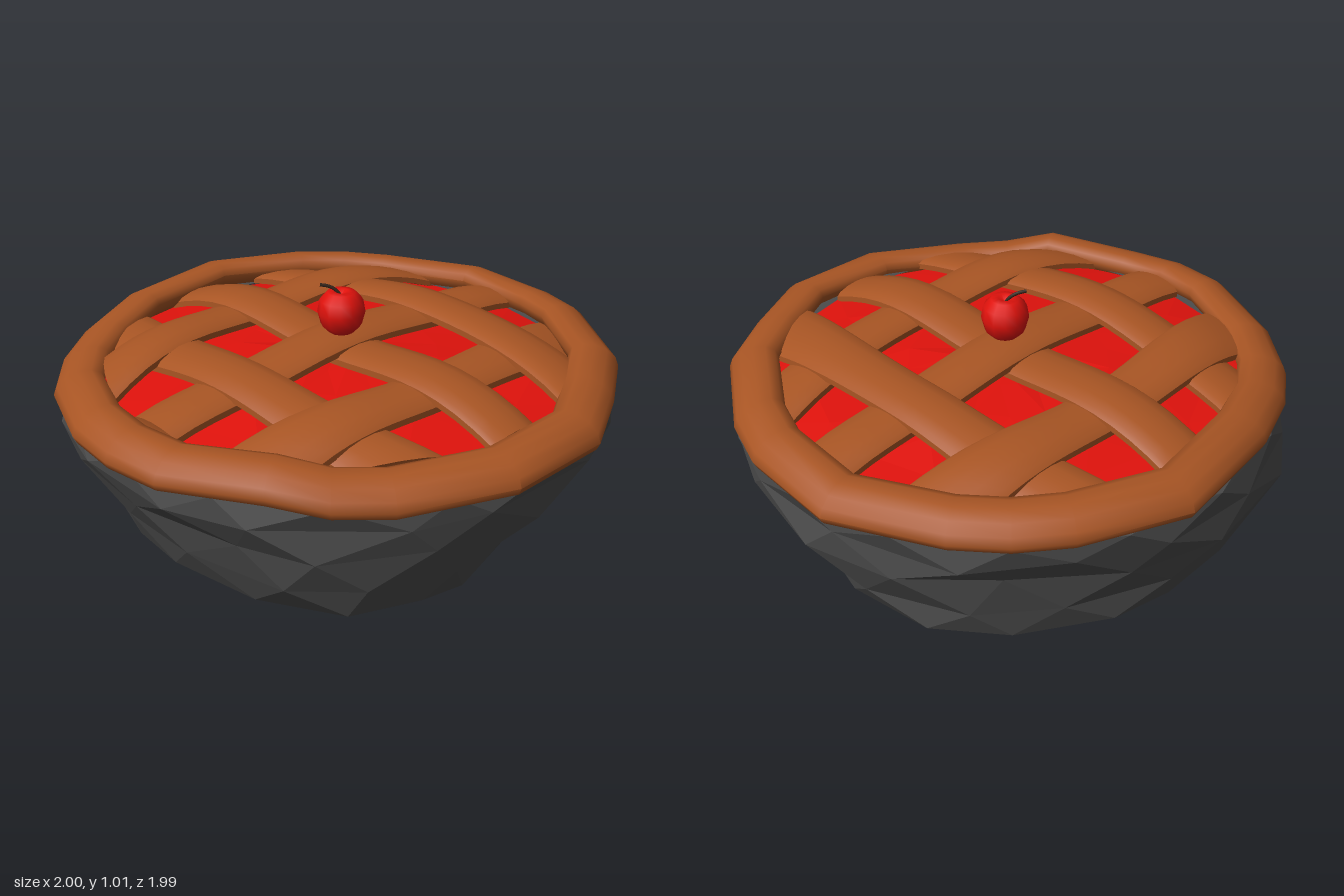
import * as THREE from 'three';
import { toCreasedNormals } from 'three/addons/utils/BufferGeometryUtils.js';

const material = (color, flatShading = false) => new THREE.MeshStandardMaterial({ color, flatShading });

// Small seeded generator, returns -1..1
function seeded(seed) {
  return () => {
    seed = (seed * 16807) % 2147483647;
    return (seed / 2147483647) * 2 - 1;
  };
}

// Skin a list of closed rings; optionally join the last ring to the first
function loft(rings, joinEnds = false) {
  const n = rings[0].length, count = rings.length, index = [];
  for (let i = 0; i < (joinEnds ? count : count - 1); i++) {
    for (let j = 0; j < n; j++) {
      const k = (j + 1) % n, r = i * n, s = ((i + 1) % count) * n;
      index.push(r + j, s + j, r + k, r + k, s + j, s + k);
    }
  }
  const geometry = new THREE.BufferGeometry();
  geometry.setAttribute('position', new THREE.Float32BufferAttribute(rings.flat(2), 3));
  geometry.setIndex(index);
  geometry.computeVertexNormals();
  return geometry;
}

// Rough stone dish: each level has its height and reach towards +x, -x, +z, -z
function dishGeometry() {
  const rand = seeded(77), sides = 16;
  const levels = [
    [0.0, 0.0, 0.2, 0.29, -0.02],
    [0.08, 0.6, 0.52, 0.62, 0.62],
    [0.19, 0.66, 0.8, 0.85, 0.83],
    [0.31, 0.72, 0.88, 0.92, 0.85],
    [0.46, 0.89, 0.98, 0.96, 0.89],
    [0.57, 0.97, 0.985, 0.975, 0.955],
    [0.66, 0.985, 0.955, 0.975, 0.965],
    [0.69, 0.94, 0.93, 0.93, 0.93],
    [0.69, 0.84, 0.84, 0.84, 0.84],
  ];
  const rings = levels.map(([y, px, nx, pz, nz], i) => {
    const rough = i > 0 && i < 6 ? 1 : 0;
    return Array.from({ length: sides }, (_, j) => {
      // each level turns by half a side, giving even triangles
      const a = ((j + i * 0.5 + rand() * 0.2 * rough) / sides) * Math.PI * 2;
      const c = Math.cos(a), s = Math.sin(a);
      // the low levels bulge at the back corners and draw in at the front right
      const corner = c > 0 ? (s > 0 ? 0 : 0.08) : (s > 0 ? -0.07 : 0.03);
      const bulge = i > 0 && i < 5 ? corner * 2 * Math.abs(c * s) : 0;
      const k = 1.005 + rand() * 0.012 * rough + bulge;
      const lift = i === 1 ? 0.05 * Math.max(0, -s) : 0;
      return [
        (c > 0 ? px : nx) * c * k,
        y + rand() * 0.015 * rough + lift,
        (s > 0 ? pz : nz) * s * k,
      ];
    });
  });
  rings.unshift(Array.from({ length: sides }, () => [-0.1, 0, 0.13]));
  return loft(rings);
}

// Wavy crust ring with a rounded section; each station is outer x, outer z, height
function rimGeometry() {
  const sides = 12;
  const stations = [
    [1, 0.02, 0.72], [0.945, 0.29, 0.71], [0.86, 0.57, 0.7], [0.58, 0.85, 0.69], [0.2, 0.975, 0.67],
    [0, 0.99, 0.675], [-0.2, 0.98, 0.715], [-0.55, 0.85, 0.69], [-0.72, 0.73, 0.7], [-0.85, 0.57, 0.705],
    [-0.98, 0.24, 0.69], [-1, 0, 0.685], [-0.96, -0.21, 0.7], [-0.85, -0.47, 0.725], [-0.57, -0.84, 0.725],
    [-0.2, -0.98, 0.72], [0, -1, 0.715], [0.2, -0.975, 0.71], [0.59, -0.84, 0.71], [0.84, -0.55, 0.715],
    [0.925, -0.37, 0.725],
  ];
  const rings = stations.map(([x, z, y]) => {
    const outer = Math.hypot(x, z);
    return Array.from({ length: sides }, (_, j) => {
      const b = (j / sides) * Math.PI * 2;
      const k = (outer - 0.09 + 0.09 * Math.cos(b)) / outer;
      // the outer side hangs a little lower
      return [x * k, y - 0.058 * Math.sin(b) - 0.022 * Math.cos(b), z * k];
    });
  });
  return toCreasedNormals(loft(rings, true), 0.9);
}

// Lumpy, gently domed fruit filling
function fillingGeometry() {
  const rand = seeded(5), sides = 18;
  const rings = [0.87, 0.7, 0.53, 0.36, 0.18, 0].map((r, i) =>
    Array.from({ length: sides }, (_, j) => {
      const a = ((j + i * 0.5) / sides) * Math.PI * 2;
      const y = 0.68 + 0.068 * (1 - (r / 0.87) ** 2) + (r ? rand() * 0.008 : 0);
      return [r * Math.cos(a), y, r * Math.sin(a)];
    }));
  return loft(rings);
}

// Woven pastry strip: angle, sideways offset, and whether it passes over the middle crossing
function stripGeometry(angle, offset, over) {
  const dx = Math.cos(angle), dz = Math.sin(angle), steps = 20;
  const section = [[-1, -0.026], [-1, -0.004], [-0.85, 0.009], [-0.45, 0.019], [0, 0.023],
    [0.45, 0.019], [0.85, 0.009], [1, -0.004], [1, -0.026]];
  const rings = [];
  for (let i = 0; i <= steps; i++) {
    const t = (i / steps) * 2 - 1;
    rings.push(section.map(([u, h]) => {
      // outer strips bow and widen at their ends, which follow the rim
      const side = offset * (1 - 0.11 * t * t) + u * (offset ? 0.104 + 0.036 * t * t : 0.108);
      const s = t * Math.sqrt(0.83 ** 2 - side ** 2);
      // the two strips meeting on the +x side keep their level to the end
      const level = offset * over > 0 && s > 0 ? 1 : Math.cos(s * Math.PI * 2);
      const r2 = (s * s + side * side) / 0.69;
      return [dx * s + dz * side, 0.715 + 0.075 * (1 - r2 * r2) + 0.017 * over * level + h, dz * s - dx * side];
    }));
  }
  // collapse a ring at each end to close it
  const cap = (ring) => {
    const c = [0, 1, 2].map((k) => ring.reduce((sum, p) => sum + p[k], 0) / ring.length);
    return ring.map(() => c);
  };
  return toCreasedNormals(loft([cap(rings[0]), ...rings, cap(rings[steps])]), 0.8);
}

export function createModel() {
  const model = new THREE.Group();
  model.name = 'cherryPie';
  const crust = material(0xa85524);
  const add = (name, geometry, mat, parent = model) => {
    const mesh = new THREE.Mesh(geometry, mat);
    mesh.name = name;
    parent.add(mesh);
  };

  add('dish', dishGeometry(), material(0x4c4c4c, true));
  add('filling', fillingGeometry(), material(0xe0120c, true));
  add('crustRim', rimGeometry(), crust);

  // Lattice: three strips along each diagonal
  const lattice = new THREE.Group();
  lattice.name = 'lattice';
  model.add(lattice);
  [[Math.PI / 4, -1], [-Math.PI / 4, 1]].forEach(([angle, over]) => {
    [-0.467, 0, 0.467].forEach((offset) => {
      add('latticeStrip', stripGeometry(angle, offset, offset ? -over : over), crust, lattice);
    });
  });

  // Cherry with a dimpled top
  const cherry = new THREE.Group();
  cherry.name = 'cherry';
  cherry.position.set(0.012, 0.82, 0.02);
  model.add(cherry);
  const profile = [[0, 0], [0.045, 0.005], [0.073, 0.034], [0.085, 0.08], [0.077, 0.125], [0.05, 0.153], [0.025, 0.156], [0, 0.138]];
  add('cherryFruit', new THREE.LatheGeometry(profile.map(([x, y]) => new THREE.Vector2(x, y)), 12), material(0xe0120c), cherry);
  const stemPath = new THREE.CatmullRomCurve3([[0, 0.135, 0], [-0.015, 0.155, 0], [-0.04, 0.172, 0], [-0.075, 0.18, 0.004]]
    .map((p) => new THREE.Vector3(...p)));
  add('cherryStem', new THREE.TubeGeometry(stemPath, 8, 0.006, 6), material(0x35251a), cherry);

  return model;
}
